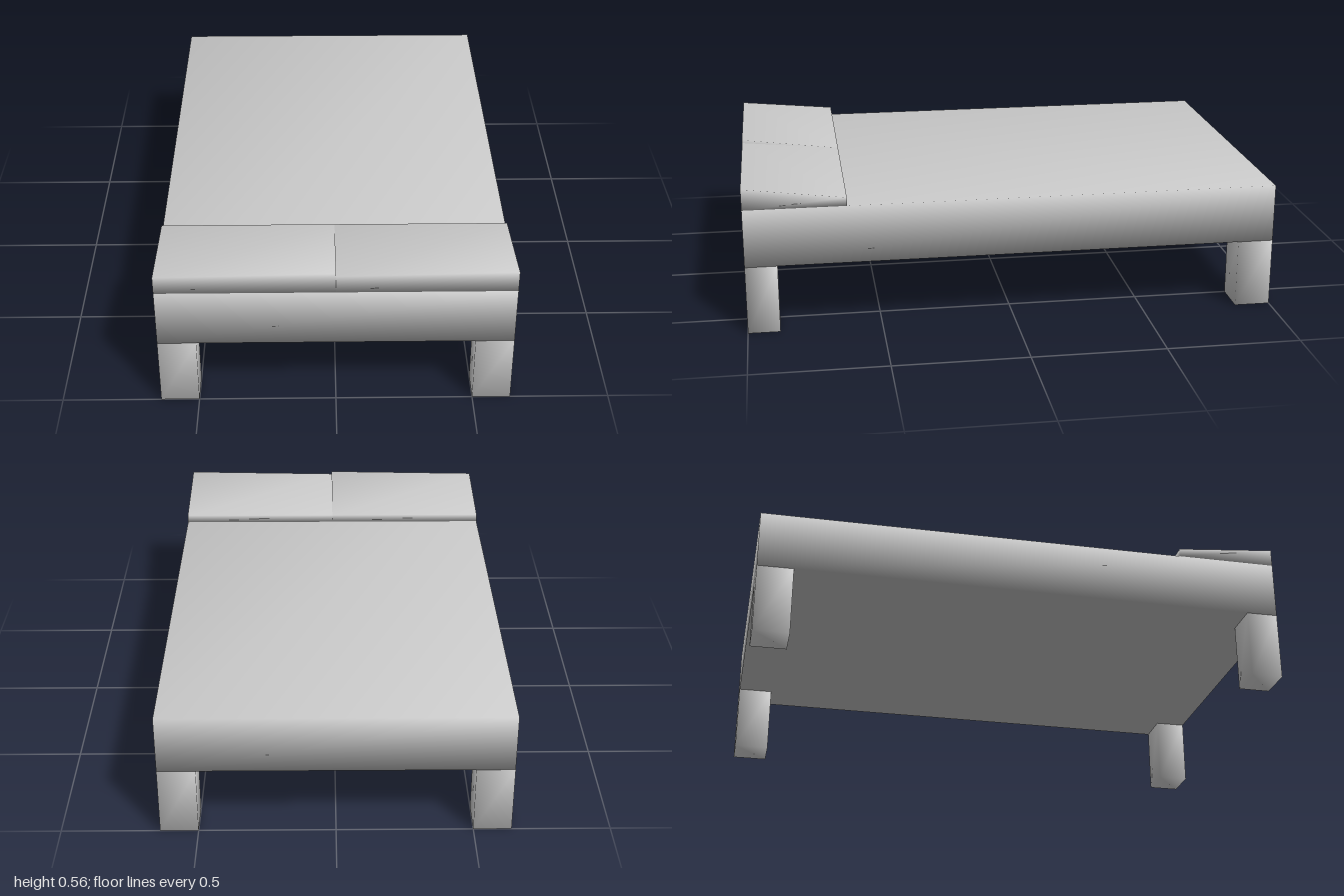
import * as THREE from 'three';
import { mergeVertices } from 'three/addons/utils/BufferGeometryUtils.js';

const material = new THREE.MeshStandardMaterial({ color: 0xcccccc });

// Box between two corners, with normals shared across its edges.
// topAt(x, z) optionally gives the height of the top corners.
function softBox(name, [x0, y0, z0], [x1, y1, z1], topAt) {
  const box = new THREE.BoxGeometry(x1 - x0, y1 - y0, z1 - z0);
  box.translate((x0 + x1) / 2, (y0 + y1) / 2, (z0 + z1) / 2);
  box.deleteAttribute('normal');
  box.deleteAttribute('uv');
  const geometry = mergeVertices(box);
  if (topAt) {
    const p = geometry.attributes.position;
    for (let i = 0; i < p.count; i++) {
      if (p.getY(i) > (y0 + y1) / 2) p.setY(i, topAt(p.getX(i), p.getZ(i)));
    }
  }
  geometry.computeVertexNormals();
  const mesh = new THREE.Mesh(geometry, material);
  mesh.name = name;
  return mesh;
}

export function createModel() {
  const bed = new THREE.Group();
  bed.name = 'bed';
  const W = 0.64, L = 1, legTop = 0.26, bedTop = 0.48;

  // Mattress block
  bed.add(softBox('mattress', [-W, legTop, -L], [W, bedTop, L]));

  // Corner legs; the back pair is slightly deeper
  for (const [side, x] of [['right', -W], ['left', W - 0.14]]) {
    bed.add(softBox(side + 'FrontLeg', [x, 0, 0.88], [x + 0.14, legTop, L]));
    bed.add(softBox(side + 'BackLeg', [x, 0, -L], [x + 0.14, legTop, -0.865]));
  }

  // Two wedge pillows, each rising to the head end and a little toward +x
  for (const [side, x] of [['right', -W], ['left', 0]]) {
    const topAt = (px, pz) => (pz < 0.8 ? 0.512 : px > x + W / 2 ? 0.56 : 0.548);
    bed.add(softBox(side + 'Pillow', [x, bedTop, 0.62], [x + W, 0.56, L], topAt));
  }
  return bed;
}
